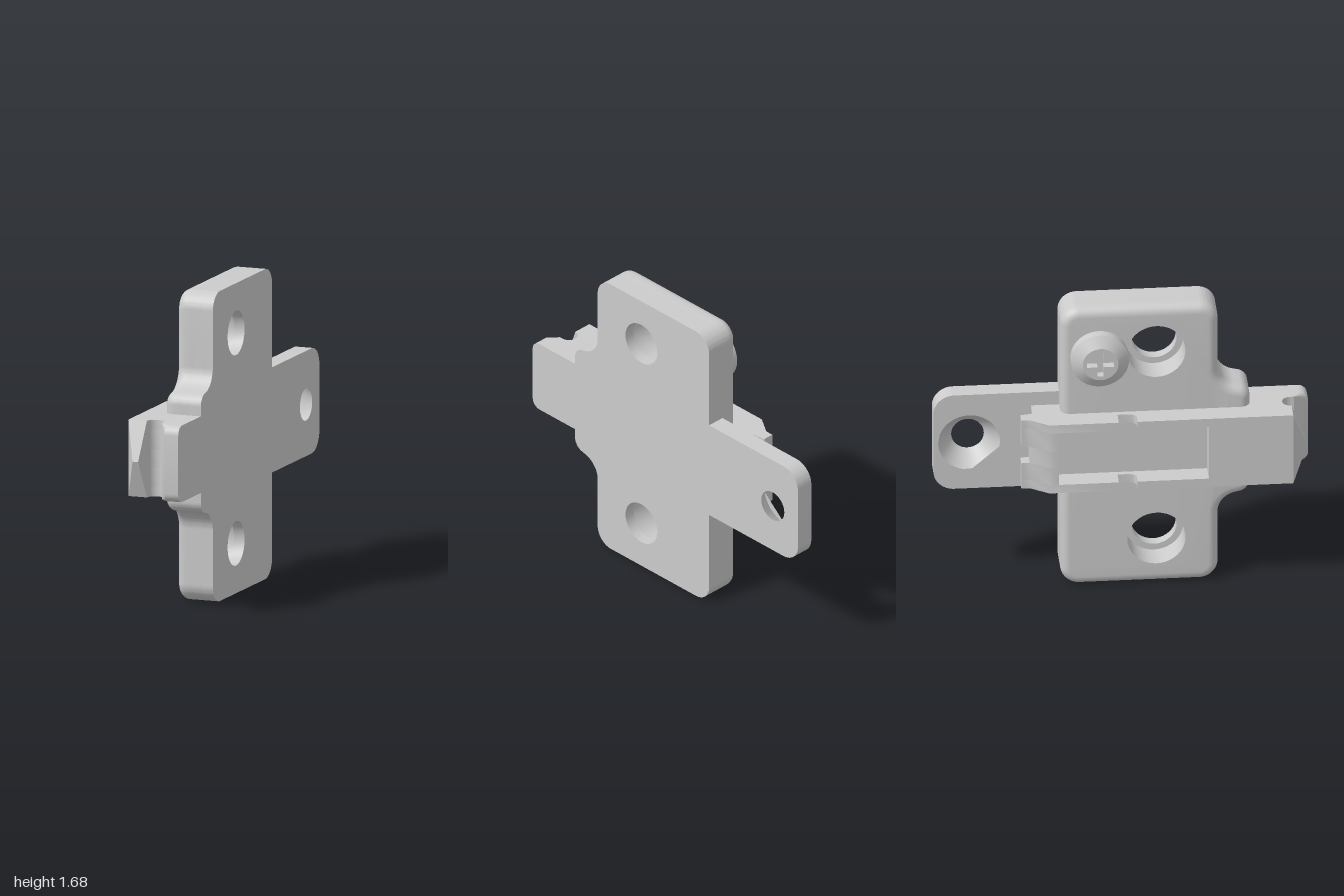
import * as THREE from 'three';
import { toCreasedNormals } from 'three/addons/utils/BufferGeometryUtils.js';
import { ConvexGeometry } from 'three/addons/geometries/ConvexGeometry.js';

const MID = 0.84; // height of the symmetry plane
const HOLES = [[0.18, 0.27], [0.18, 1.41]]; // screw holes as (z, y)
const grey = new THREE.MeshStandardMaterial({ color: 0xcccccc });

function add(group, name, geo, crease = 0.6) {
  const mesh = new THREE.Mesh(toCreasedNormals(geo, crease), grey);
  mesh.name = name;
  group.add(mesh);
  return mesh;
}

// Closed outline from corners [u, v, radius]
function roundedShape(corners) {
  const shape = new THREE.Shape();
  const n = corners.length;
  corners.forEach(([u, v, r = 0], i) => {
    const p = new THREE.Vector2(u, v);
    const toward = (q, d) => new THREE.Vector2(q[0], q[1]).sub(p).setLength(d).add(p);
    const before = corners[(i + n - 1) % n], after = corners[(i + 1) % n];
    const a = toward(before, r), b = toward(after, r);
    if (i === 0) shape.moveTo(a.x, a.y); else shape.lineTo(a.x, a.y);
    if (r > 0) {
      const c = toward(before, r * 0.448), d = toward(after, r * 0.448);
      shape.bezierCurveTo(c.x, c.y, d.x, d.y, b.x, b.y);
    }
  });
  shape.closePath();
  return shape;
}

function drill(shape, centres, r) {
  for (const [u, v] of centres) shape.holes.push(new THREE.Path().absarc(u, v, r, 0, Math.PI * 2, true));
  return shape;
}

// Extrude a (z, y) shape from x = xBack toward -x
function plate(shape, xBack, depth, options = {}) {
  const geo = new THREE.ExtrudeGeometry(shape, { depth, bevelEnabled: false, curveSegments: 20, ...options });
  return geo.rotateY(-Math.PI / 2).translate(xBack, 0, 0);
}

// Give hole vertices near (z, y) a new radius where test(x) holds
function resizeHole(geo, [z, y], reach, radius, test = () => true) {
  const p = geo.attributes.position;
  for (let i = 0; i < p.count; i++) {
    const dz = p.getZ(i) - z, dy = p.getY(i) - y, d = Math.hypot(dz, dy);
    if (d < reach && test(p.getX(i))) {
      p.setZ(i, z + dz / d * radius);
      p.setY(i, y + dy / d * radius);
    }
  }
  return geo;
}

const bodyShape = (r) => drill(roundedShape([
  [-0.33, 0, 0.1], [0.51, 0, 0.1], [0.51, 0.49, 0.09], [0.68, 0.53, 0.05],
  [0.68, 1.15, 0.05], [0.51, 1.19, 0.09], [0.51, 1.68, 0.1], [-0.33, 1.68, 0.1],
]), HOLES, r);

// Arm section as (x, z) points, with or without the pocket and the rear lip
function armProfile(pocket, lip) {
  const pts = [[-0.165, -0.4], [-0.1, -0.5]];
  if (lip) pts.push([-0.1, -0.545], [-0.04, -0.545], [-0.03, -0.48]);
  else pts.push([-0.03, -0.5]);
  pts.push([0.1, -0.48], [0.1, 0.9]);
  for (let i = 0; i <= 12; i++) { // round groove across the front end
    const a = Math.PI * i / 12;
    pts.push([-0.0125 + 0.0475 * Math.cos(a), 0.9 - 0.047 * Math.sin(a)]);
  }
  pts.push([-0.165, 0.9]);
  if (pocket) pts.push([-0.165, 0.45], [-0.052, 0.45], [-0.052, -0.35], [-0.165, -0.35]);
  else pts.push([-0.165, 0.07], [-0.11, 0.07], [-0.088, 0.058], [-0.08, 0.035], [-0.08, -0.03], [-0.165, -0.03]);
  return new THREE.Shape(pts.map(([x, z]) => new THREE.Vector2(x, -z)));
}

export function createModel() {
  const model = new THREE.Group();
  model.name = 'mountingPlate';

  // Body: rounded outer face, straight core, and a back layer with narrower holes
  const face = plate(bodyShape(0.155), 0.05, 0.05,
    { bevelEnabled: true, bevelSize: 0.05, bevelThickness: 0.05, bevelOffset: -0.05, bevelSegments: 6 });
  HOLES.forEach((h) => resizeHole(face, h, 0.212, 0.155));
  add(model, 'bodyFace', face);
  add(model, 'bodyCore', plate(bodyShape(0.155), 0.1, 0.1));
  add(model, 'bodyBack', plate(bodyShape(0.12), 0.16, 0.06));

  // Rear tab with a countersunk hole
  const tabHole = [-0.81, MID];
  const tab = plate(drill(roundedShape([
    [-1, 0.56, 0.11], [-0.28, 0.56], [-0.28, 1.13], [-1, 1.13, 0.11],
  ]), [tabHole], 0.087), 0.16, 0.1);
  add(model, 'rearTab', resizeHole(tab, tabHole, 0.1, 0.165, (x) => x < 0.1));

  // Arm: notched side rails around a pocket, with a gap in the rear lip
  const y0 = 0.635, y1 = 1.05;
  const rails = [
    ['armRail', y0, 0.685, false, true],
    ['armMiddle', 0.685, 0.79, true, true],
    ['armLipGap', 0.79, 0.89, true, false],
    ['armMiddle', 0.89, 1.0, true, true],
    ['armRail', 1.0, y1, false, true],
  ];
  for (const [name, bottom, top, pocket, lip] of rails) {
    const geo = new THREE.ExtrudeGeometry(armProfile(pocket, lip), { depth: top - bottom, bevelEnabled: false });
    add(model, name, geo.rotateX(-Math.PI / 2).translate(0, bottom, 0));
  }

  // Pointed nose at the front of the arm
  const V = (x, y, z) => new THREE.Vector3(x, y, z);
  const nose = [V(-0.11, MID, 0.98), V(-0.078, MID, 0.98)];
  for (const y of [y0, y1]) nose.push(V(-0.165, y, 0.88), V(-0.165, y, 0.9), V(-0.06, y, 0.9), V(-0.06, y, 0.88));
  add(model, 'armNose', new ConvexGeometry(nose), 0.05);

  // Front tongue with rounded corners and a sloped upper edge
  const tongue = [];
  for (const s of [-1, 1]) {
    const yEdge = s < 0 ? y0 : y1;
    tongue.push(V(0.035, yEdge, 0.6), V(0.16, yEdge, 0.6), V(0.035, yEdge, 0.92));
    for (let i = 0; i <= 5; i++) {
      const a = Math.PI / 2 * i / 5;
      for (const x of [0.08, 0.16]) {
        tongue.push(V(x, yEdge - s * 0.05 * (1 - Math.cos(a)), 0.95 + 0.05 * Math.sin(a)));
      }
    }
  }
  add(model, 'frontTongue', new ConvexGeometry(tongue), 0.4);

  // Adjusting screw with a cross recess
  const screw = new THREE.Group();
  screw.name = 'screw';
  const profile = [[0.155, 0.03], [0.155, 0.1], [0.095, 0.14]].map(([r, h]) => new THREE.Vector2(r, h));
  add(screw, 'screwHead', new THREE.LatheGeometry(profile, 40).rotateZ(Math.PI / 2));
  const disc = new THREE.Shape().absarc(0, 0, 0.095, 0, Math.PI * 2);
  const w = 0.016, l = 0.072;
  disc.holes.push(new THREE.Path([
    [w, w], [w, l], [-w, l], [-w, w], [-l, w], [-l, -w], [-w, -w], [-w, -l], [w, -l], [w, -w], [l, -w], [l, w],
  ].map(([u, v]) => new THREE.Vector2(u, v))));
  add(screw, 'screwTop', plate(disc, -0.09, 0.05));
  add(screw, 'recessFloor', new THREE.CircleGeometry(0.09, 24).rotateY(-Math.PI / 2).translate(-0.095, 0, 0));
  screw.position.set(0, 1.395, -0.125);
  model.add(screw);

  return model;
}
